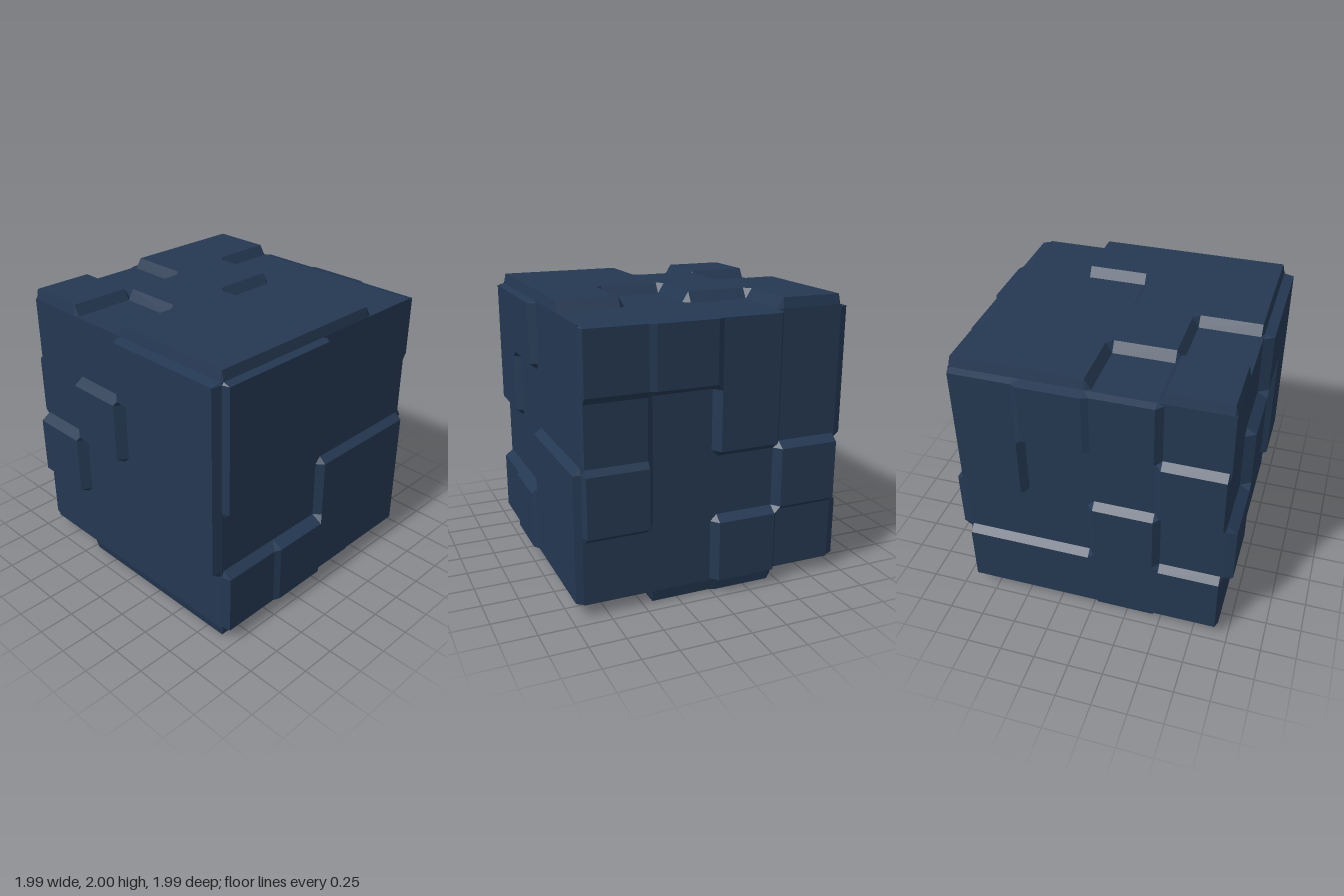
import * as THREE from 'three';

const HALF = 0.92;                              // half size of the recessed core cube
const CENTRE = new THREE.Vector3(-0.005, 1.01, -0.005);

// Sample stops across a face, each with the cell it belongs to (-1 = cube edge)
const STEP = HALF / 2, BEVEL = 0.022;
const stops = [[-HALF, -1]];
for (let c = 0; c < 4; c++) {
  const a = -HALF + c * STEP;
  stops.push([a + (c === 0 ? 0.015 : BEVEL), c]);
  stops.push([a + STEP - (c === 3 ? 0.015 : BEVEL), c]);
}
stops.push([HALF, -1]);

// Each face: right direction, up direction, and 4 x 4 panel heights in hundredths (top row first)
const faces = {
  frontPanels: { u: [1, 0, 0], v: [0, 1, 0], rows: ['5500', '5000', '0055', '6855'] },
  leftPanels: { u: [0, 0, -1], v: [0, 1, 0], rows: ['6860', '3060', '6006', '0060'] },
  backPanels: { u: [-1, 0, 0], v: [0, 1, 0], rows: ['5750', '5005', '0050', '5555'] },
  rightPanels: { u: [0, 0, 1], v: [0, 1, 0], rows: ['0077', '0707', '7007', '0000'] },
  topPanels: { u: [1, 0, 0], v: [0, 0, -1], rows: ['7077', '0770', '7700', '7770'] },
  bottomPanels: { u: [1, 0, 0], v: [0, 0, 1], rows: ['7780', '7488', '7789', '0800'] },
};

// Relief surface: flat panels joined by sloped bevels, falling to the core at the cube edges
function reliefFace({ u, v, rows }) {
  const U = new THREE.Vector3(...u), V = new THREE.Vector3(...v);
  const N = U.clone().cross(V);
  const height = (i, j) => {
    const c = stops[i][1], r = stops[j][1];
    return c < 0 || r < 0 ? 0 : Number(rows[3 - r][c]) / 100;
  };
  const point = (i, j) => CENTRE.clone()
    .addScaledVector(U, stops[i][0])
    .addScaledVector(V, stops[j][0])
    .addScaledVector(N, HALF + height(i, j));

  const positions = [];
  const tri = (...pts) => pts.forEach((p) => positions.push(p.x, p.y, p.z));
  for (let i = 0; i < stops.length - 1; i++) {
    for (let j = 0; j < stops.length - 1; j++) {
      const a = point(i, j), b = point(i + 1, j), c = point(i + 1, j + 1), d = point(i, j + 1);
      // Split along the more level diagonal so bevel corners mitre cleanly
      const ac = Math.abs(height(i, j) - height(i + 1, j + 1));
      const bd = Math.abs(height(i + 1, j) - height(i, j + 1));
      if (ac <= bd) { tri(a, b, c); tri(a, c, d); } else { tri(a, b, d); tri(b, c, d); }
    }
  }
  const geometry = new THREE.BufferGeometry();
  geometry.setAttribute('position', new THREE.Float32BufferAttribute(positions, 3));
  geometry.computeVertexNormals();
  return geometry;
}

export function createModel() {
  const model = new THREE.Group();
  model.name = 'panelledCube';
  const navy = new THREE.MeshStandardMaterial({ color: 0x243852 });
  navy.name = 'navy';
  for (const [name, face] of Object.entries(faces)) {
    const mesh = new THREE.Mesh(reliefFace(face), navy);
    mesh.name = name;
    model.add(mesh);
  }
  return model;
}
